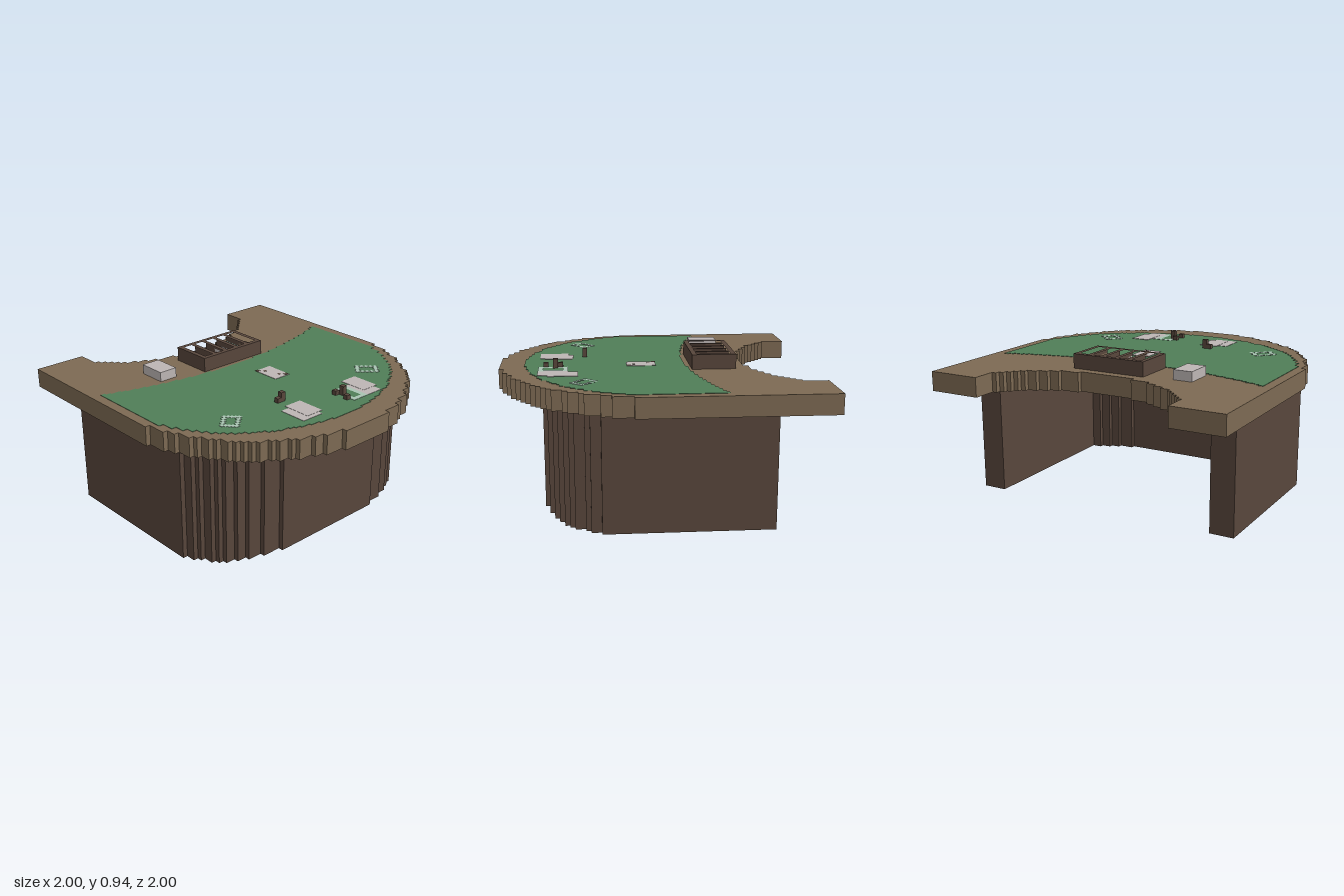
import * as THREE from 'three';

const V = 1 / 32; // one block; all sizes below are in blocks

const mat = (name, color) => {
  const m = new THREE.MeshStandardMaterial({ color });
  m.name = name;
  return m;
};

// Stepped curve: one flat tread per block column, from -n to n
function stair(n, f, q = 1) {
  const pts = [];
  for (let i = -n; i < n; i++) {
    const z = Math.round(f(i + 0.5) / q) * q;
    pts.push([i, z], [i + 1, z]);
  }
  return pts;
}

// Mirrored stepped curve from [half width, z] treads, left to right
function mirrorSteps(steps) {
  const right = [];
  steps.forEach(([x, z], i) => {
    if (i) right.push([steps[i - 1][0], z]);
    right.push([x, z]);
  });
  return [...right.map(([x, z]) => [-x, z]).reverse(), ...right];
}

const rect = (x0, x1, z0, z1) => [[x0, z0], [x1, z0], [x1, z1], [x0, z1]];
const toVectors = (pts) => pts.map(([x, z]) => new THREE.Vector2(x * V, -z * V));

// Upright slab with a plan outline (x, z) between heights y0 and y1
function slab(name, material, pts, y0, y1, holes = []) {
  const shape = new THREE.Shape(toVectors(pts));
  holes.forEach((h) => shape.holes.push(new THREE.Path(toVectors(h))));
  const geo = new THREE.ExtrudeGeometry(shape, { depth: (y1 - y0) * V, bevelEnabled: false });
  geo.rotateX(-Math.PI / 2).translate(0, y0 * V, 0);
  const mesh = new THREE.Mesh(geo, material);
  mesh.name = name;
  return mesh;
}

function block(name, material, x0, x1, y0, y1, z0, z1) {
  const geo = new THREE.BoxGeometry((x1 - x0) * V, (y1 - y0) * V, (z1 - z0) * V);
  geo.translate((x0 + x1) * V / 2, (y0 + y1) * V / 2, (z0 + z1) * V / 2);
  const mesh = new THREE.Mesh(geo, material);
  mesh.name = name;
  return mesh;
}

export function createModel() {
  const wood = mat('tan wood', 0x7d6a53);
  const dark = mat('dark wood', 0x58463c);
  const felt = mat('green felt', 0x507e58);
  const white = mat('card white', 0xbdb6b5);
  const mint = mat('pale mint', 0xa9c3b2);
  const model = new THREE.Group();
  model.name = 'cardTable';

  // Curved base wall, open at the back
  const outer = mirrorSteps([[13, 23], [17, 22], [20, 21], [22, 20], [24, 19],
    [25, 18], [26, 17], [27, 15], [28, 14], [29, 12]]);
  const inner = mirrorSteps([[15, 18], [18, 17], [20, 16], [22, 15], [24, 14]]);
  model.add(slab('base', dark, [
    [-29, -21], ...outer, [29, -21], [24, -21], ...inner.reverse(), [-24, -21],
  ], 0, 23));

  // Half-round top with the dealer's cutout
  const rim = stair(32, (x) => Math.sqrt(32 * 32 - x * x));
  const cutout = stair(21, (x) => -32 + 14 * Math.sqrt(1 - (x / 21.7) ** 2));
  model.add(slab('tableTop', wood, [
    ...rim, [32, -32], [21, -32], ...cutout.reverse(), [-21, -32], [-32, -32],
  ], 23, 27));

  // Felt playing surface
  const feltFront = stair(30, (x) => 27 * Math.sqrt(1 - (x / 30.7) ** 2), 0.5);
  const feltBack = stair(30, (x) => -6 - 0.0062 * x * x, 0.5);
  model.add(slab('felt', felt, [...feltFront, ...feltBack.reverse()], 27, 27.08));

  // Cards lying on the felt
  const cards = new THREE.Group();
  cards.name = 'cards';
  const card = (m, x0, x1, z0, z1, top, holes) =>
    cards.add(slab('card', m, rect(x0, x1, z0, z1), 27.08, top, holes));
  card(white, 1, 5, 0, 6, 27.16);
  card(white, -9, -4, 18, 24, 27.14);
  card(white, -7, -3, 17, 23, 27.18);
  card(mint, 5, 9, 18, 24, 27.14, [rect(6, 8, 19, 23)]);
  card(white, 9, 13, 18, 24, 27.14);
  card(white, 10, 14, 16, 22, 27.18);
  model.add(cards);

  // Pips on the centre card
  [[1.3, 0.3, 0.4], [4.5, 5.5, 0.4], [2.4, 1.4, 0.3], [3.4, 4.5, 0.3]].forEach(([x, z, r]) => {
    model.add(block('cardPip', dark, x - r, x + r, 27.16, 27.2, z - r, z + r));
  });

  // Dotted betting outlines, mirrored
  const corners = [[-18.6, 12.6], [-16.6, 14.6], [-19.6, 17.2], [-21.4, 15.2]];
  for (const side of [1, -1]) {
    const ring = new THREE.Group();
    ring.name = side > 0 ? 'rightBettingMark' : 'leftBettingMark';
    corners.forEach(([ax, az], i) => {
      const [bx, bz] = corners[(i + 1) % 4];
      for (let k = 0; k < 4; k++) {
        const x = side * (ax + (bx - ax) * k / 4), z = az + (bz - az) * k / 4;
        ring.add(block('markDot', mint, x - 0.42, x + 0.42, 27.08, 27.14, z - 0.42, z + 0.42));
      }
    });
    model.add(ring);
  }

  // Chip stacks: x, z, height
  [[-7, 14, 1], [-6, 14, 2], [4, 19, 1], [5, 20, 2], [4, 22, 1]].forEach(([x, z, h]) => {
    model.add(block('chipStack', dark, x, x + 1, 27, 27 + h, z, z + 1));
  });

  // Chip tray with five slots
  const tray = new THREE.Group();
  tray.name = 'chipTray';
  const slots = [-6, -3, 0, 3, 6].map((x) => rect(x, x + 2, -15, -8));
  tray.add(block('trayFloor', dark, -7, 9, 27, 28, -16, -7));
  tray.add(slab('trayWalls', dark, rect(-7, 9, -16, -7), 28, 30, slots));
  [[0, -12, white], [3, -14, mint], [6, -11, wood]].forEach(([x, z, m]) => {
    tray.add(block('trayChips', m, x, x + 2, 28, 29, z, -8));
  });
  model.add(tray);

  // Card deck beside the tray
  model.add(block('deck', white, -17, -13, 27, 29, -15, -9));

  return model;
}
